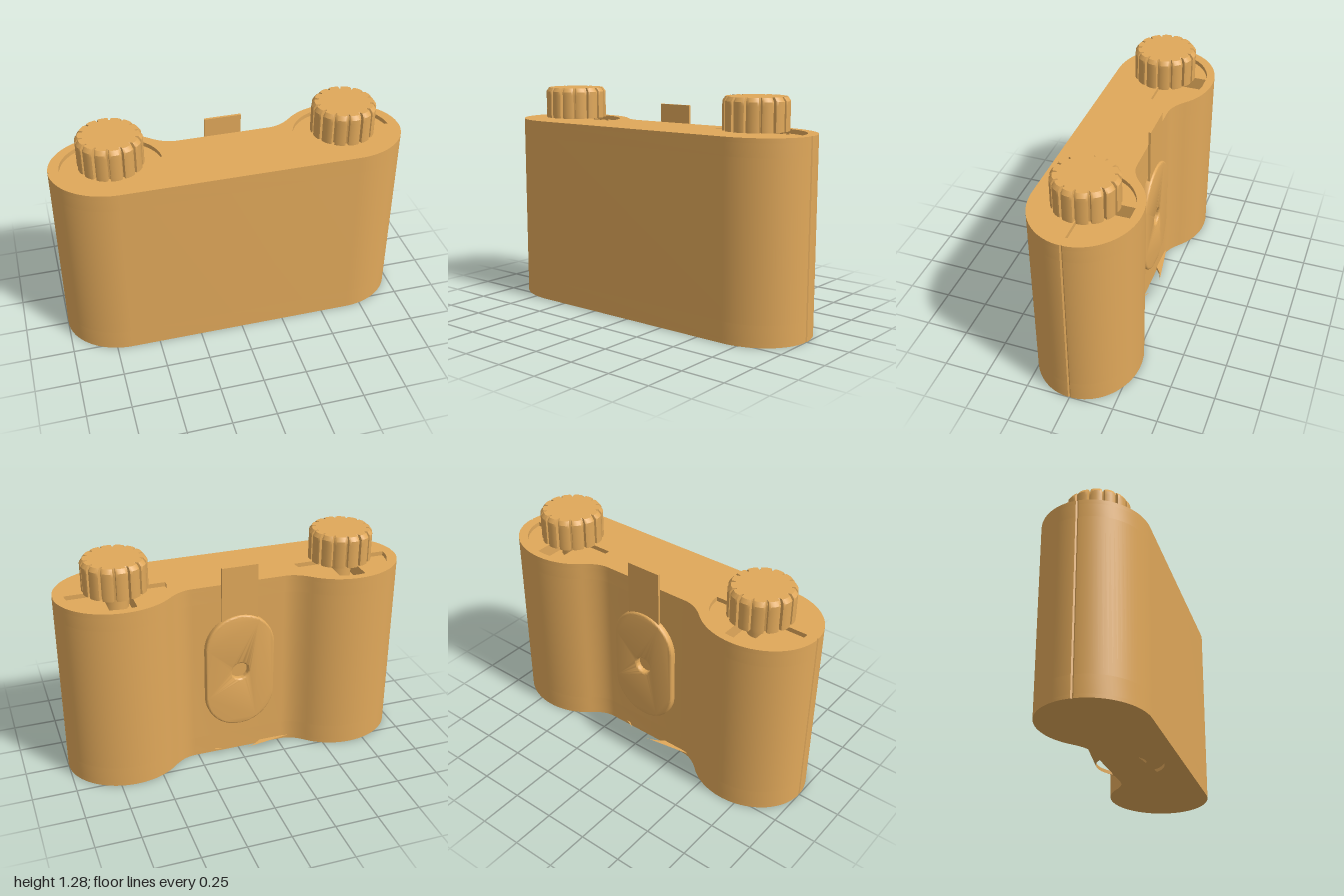
import * as THREE from 'three';
import { toCreasedNormals } from 'three/addons/utils/BufferGeometryUtils.js';

const material = new THREE.MeshStandardMaterial({ color: 0xe0a85a });
const END_X = 0.66;    // centre of each rounded end
const HEIGHT = 1.09;

function add(parent, name, geometry, x = 0, y = 0, z = 0) {
  const mesh = new THREE.Mesh(toCreasedNormals(geometry, 0.6), material);
  mesh.name = name;
  mesh.position.set(x, y, z);
  parent.add(mesh);
  return mesh;
}

// Points on an elliptical arc (degrees); shape y points to the back
function arc(cx, rx, ry, from, to, n = 20) {
  return Array.from({ length: n + 1 }, (_, i) => {
    const a = THREE.MathUtils.degToRad(from + (to - from) * i / n);
    return new THREE.Vector2(cx + rx * Math.cos(a), ry * Math.sin(a));
  });
}

// Plan of the body: flat front, two lobes with a fillet to a sunken back
function bodyPlan() {
  const lobe = [
    ...arc(END_X, 0.34, 0.295, -90, -1.5),
    new THREE.Vector2(0.993, 0),           // seam notch between the two halves
    ...arc(END_X, 0.34, 0.295, 1.5, 137, 28),
  ];
  const fillet = new THREE.QuadraticBezierCurve(
    lobe[lobe.length - 1], new THREE.Vector2(0.34, 0.135), new THREE.Vector2(0.27, 0.135));
  const right = [...lobe, ...fillet.getPoints(8).slice(1)];
  const left = right.map((p) => new THREE.Vector2(-p.x, p.y)).reverse();
  return [...right, ...left];
}

// Upright slab of the body between two heights, with optional holes
function layer(parent, name, y0, y1, holes = []) {
  const shape = new THREE.Shape(bodyPlan());
  shape.holes = holes.map((pts) => new THREE.Path(pts));
  const g = new THREE.ExtrudeGeometry(shape, { depth: y1 - y0, bevelEnabled: false });
  add(parent, name, g.rotateX(-Math.PI / 2), 0, y0);
}

// Ribbed winding knob with a chamfered top
function knobGeometry() {
  const ribs = 14, r = 0.18, pts = [];
  for (let i = 0; i < ribs; i++) {
    for (const [f, rad] of [[0, r - 0.026], [0.13, r - 0.024], [0.17, r - 0.004], [0.3, r],
      [0.57, r + 0.001], [0.83, r], [0.96, r - 0.004]]) {
      const a = (i + f) / ribs * Math.PI * 2;
      pts.push(new THREE.Vector2(rad * Math.cos(a), rad * Math.sin(a)));
    }
  }
  const g = new THREE.ExtrudeGeometry(new THREE.Shape(pts), { depth: 0.18, steps: 8, bevelEnabled: false });
  g.rotateX(-Math.PI / 2);
  const p = g.attributes.position;
  for (let i = 0; i < p.count; i++) {
    if (p.getY(i) > 0.17) p.setXYZ(i, p.getX(i) * 0.91, p.getY(i), p.getZ(i) * 0.91);
  }
  return g;
}

export function createModel() {
  const model = new THREE.Group();
  model.name = 'camera';

  // Body stacked from slabs: socket in the base, shaft slots and recesses on top
  const body = new THREE.Group();
  body.name = 'body';
  model.add(body);
  const circle = (r) => arc(0, r, r, 0, 348, 29);
  const sides = [-1, 1];
  const slots = sides.map((s) => [[-0.075, 0], [0.075, 0], [0.075, 0.235], [-0.075, 0.235]]
    .map(([x, y]) => new THREE.Vector2(s * END_X + x, y)));
  const recesses = sides.map((s) => arc(s * END_X, 0.28, 0.25, 0, 180, 32));
  layer(body, 'baseWithSocketRim', 0, 0.02, [circle(0.19)]);
  layer(body, 'baseWithSocketHole', 0.02, 0.12, [circle(0.09)]);
  layer(body, 'mainBody', 0.12, 0.99);
  layer(body, 'slottedDeck', 0.99, HEIGHT - 0.025, slots);
  layer(body, 'topRim', HEIGHT - 0.025, HEIGHT, recesses);

  // Winding knobs on short shafts
  for (const s of sides) {
    const knob = new THREE.Group();
    knob.name = s > 0 ? 'leftKnob' : 'rightKnob';
    knob.position.x = s * END_X;
    add(knob, 'knobCap', knobGeometry(), 0, 1.1);
    add(knob, 'knobShaft', new THREE.CylinderGeometry(0.07, 0.07, 0.12, 24), 0, 1.045);
    model.add(knob);
  }

  // Oval plate with a small central opening on the back
  const bevel = 0.012, w = 0.205 - bevel, h = 0.15;
  const oval = new THREE.Shape();
  oval.absarc(0, h, w, 0, Math.PI);
  oval.absarc(0, -h, w, Math.PI, Math.PI * 2);
  oval.closePath();
  oval.holes.push(new THREE.Path().absarc(0, 0, 0.062, 0, Math.PI * 2, true));
  const plate = new THREE.ExtrudeGeometry(oval, {
    depth: 0.026, bevelSize: bevel, bevelThickness: bevel, bevelSegments: 4, curveSegments: 24,
  });
  add(model, 'backPlate', plate.rotateY(Math.PI), 0, 0.545, -0.132);

  // Flat tab rising from the plate above the top
  add(model, 'backTab', new THREE.BoxGeometry(0.21, 0.45, 0.014), 0, 0.97, -0.15);

  return model;
}
